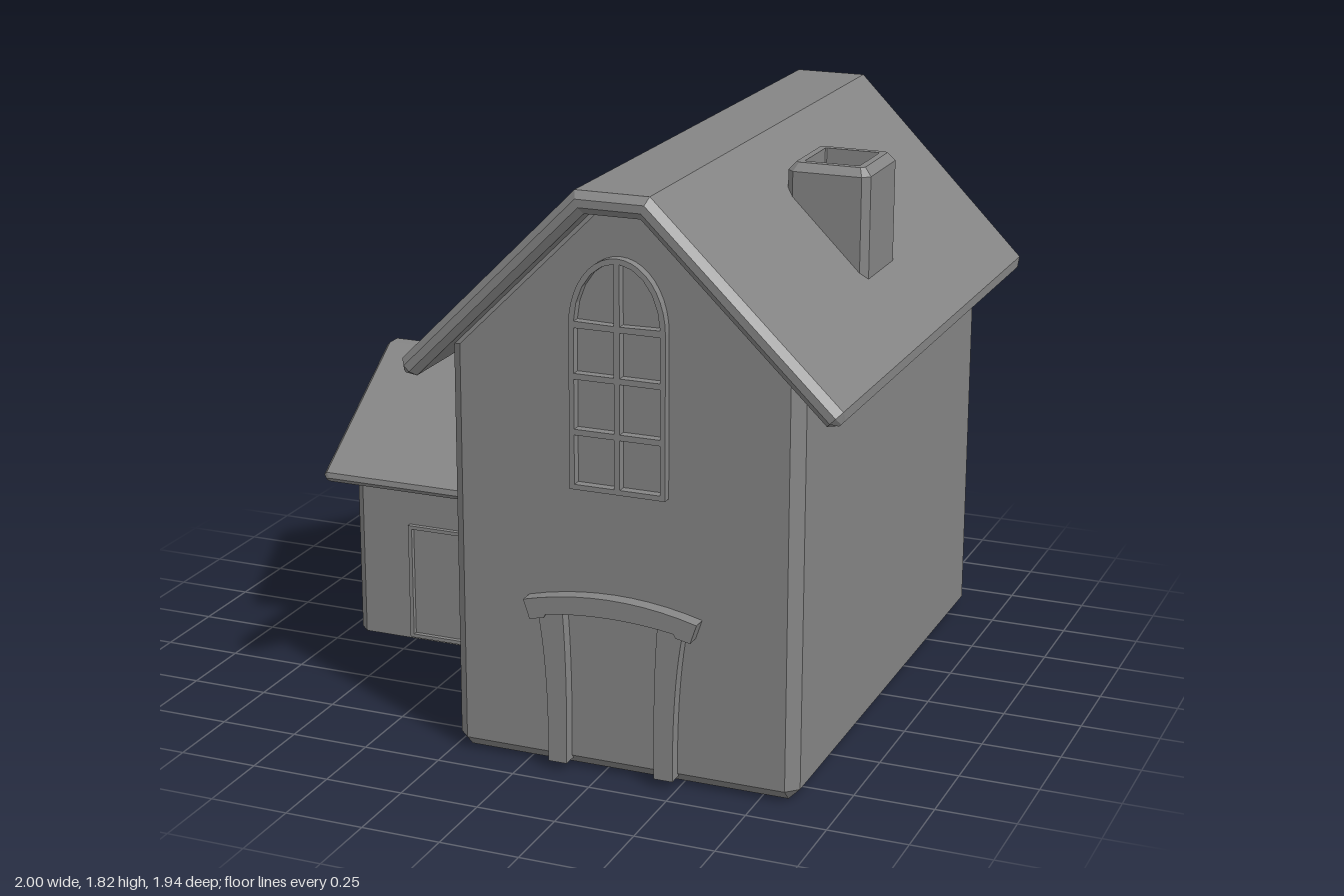
import * as THREE from 'three';

const material = new THREE.MeshStandardMaterial({ color: 0x858585, flatShading: true, side: THREE.DoubleSide });

function addMesh(parent, name, geometry, x = 0, y = 0, z = 0) {
  const mesh = new THREE.Mesh(geometry, material);
  mesh.name = name;
  mesh.position.set(x, y, z);
  parent.add(mesh);
  return mesh;
}

// Skin over closed rings of [x, y, z] points, with fan caps at both ends
function loft(rings) {
  const tris = [];
  const n = rings[0].length;
  const tri = (a, b, c) => {
    const [p, q, r] = [a, b, c].map((v) => new THREE.Vector3(...v));
    const area = q.clone().sub(p).cross(r.clone().sub(p)).length();
    if (area > 1e-9) tris.push([p, q, r]);
  };
  for (let i = 0; i < rings.length - 1; i++) {
    for (let j = 0; j < n; j++) {
      const k = (j + 1) % n;
      tri(rings[i][j], rings[i][k], rings[i + 1][k]);
      tri(rings[i][j], rings[i + 1][k], rings[i + 1][j]);
    }
  }
  const first = rings[0], last = rings[rings.length - 1];
  for (let j = 1; j < n - 1; j++) {
    tri(first[0], first[j + 1], first[j]);
    tri(last[0], last[j], last[j + 1]);
  }
  // Turn the skin outwards if its signed volume is negative
  const volume = tris.reduce((s, [p, q, r]) => s + p.dot(q.clone().cross(r)), 0);
  const points = tris.flatMap(([p, q, r]) => (volume < 0 ? [p, r, q] : [p, q, r]));
  const geometry = new THREE.BufferGeometry().setFromPoints(points);
  geometry.computeVertexNormals();
  return geometry;
}

// Gabled block along z with chamfered upright corners; foot chamfers the base, lift the gable edge
function gabledWalls({ hw, hd, c, foot, lift, y0, eaveY, peakHw, peakY }) {
  const rise = c * (peakY - eaveY) / (hw - peakHw);
  const shoulder = [hw - c, eaveY + rise];
  const full = [[hw - foot, y0], [hw, y0 + foot], [hw, eaveY + lift], [hw - c, eaveY + rise + lift],
    [peakHw + lift * 0.6, peakY + lift * 0.4]];
  const inset = [[hw - c, y0 + foot], [hw - c, y0 + foot], shoulder, shoulder, [peakHw, peakY]];
  const ring = (half, z) => [
    ...half.map(([x, y]) => [x, y, z]),
    ...[...half].reverse().map(([x, y]) => [-x, y, z]),
  ];
  return loft([ring(inset, hd), ring(full, hd - c), ring(full, c - hd), ring(inset, -hd)]);
}

// Bent roof slab with a flat ridge, lofted from eave to eave, all edges chamfered
function bentRoof({ ridgeHw, ridgeY, eaveHw, eaveY, t, c, ridgeHd, eaveHd }) {
  const angle = Math.atan2(ridgeY - eaveY, eaveHw - ridgeHw);
  const d = [Math.cos(angle), -Math.sin(angle)];
  const nrm = [Math.sin(angle), Math.cos(angle)];
  const along = (p, v, s) => [p[0] + v[0] * s, p[1] + v[1] * s];
  const ring = (side, top, low, hd, f) => {
    const at = (k, z) => [side * (top[0] + (low[0] - top[0]) * k), top[1] + (low[1] - top[1]) * k, z];
    return [at(0, hd - c), at(f, hd), at(1 - f, hd), at(1, hd - c),
      at(1, c - hd), at(1 - f, -hd), at(f, -hd), at(0, c - hd)];
  };
  const half = (side) => {
    const eaveTop = [eaveHw, eaveY], eaveLow = along(eaveTop, nrm, -t);
    const tip = along(along(eaveTop, d, c), nrm, -c);
    const tipLow = along(along(eaveLow, d, c), nrm, c);
    return [
      ring(side, tip, tipLow, eaveHd - c, 0.3),
      ring(side, eaveTop, eaveLow, eaveHd, c / t),
      ring(side, [ridgeHw, ridgeY], [ridgeHw - t * Math.tan(angle / 2), ridgeY - t], ridgeHd, c / t),
    ];
  };
  return loft([...half(-1), ...half(1).reverse()]);
}

// Horizontal rectangle with cut corners
function cutRect(hw, hd, c, y) {
  return [[hw, hd - c], [hw - c, hd], [c - hw, hd], [-hw, hd - c],
    [-hw, c - hd], [c - hw, -hd], [hw - c, -hd], [hw, c - hd]].map(([x, z]) => [x, y, z]);
}

function rectShape(x0, y0, x1, y1, Type = THREE.Shape) {
  return new Type([[x0, y0], [x1, y0], [x1, y1], [x0, y1]].map((p) => new THREE.Vector2(...p)));
}

const extrude = (shape, depth) =>
  new THREE.ExtrudeGeometry(shape, { depth, bevelEnabled: false, curveSegments: 10 });

// Arched window frame with two columns of four panes
function windowFrame() {
  const hw = 0.151, spring = 1.405, rise = 0.21, bar = 0.009, edge = 0.016;
  const shape = new THREE.Shape();
  shape.moveTo(-hw, 0.903);
  shape.lineTo(hw, 0.903);
  shape.lineTo(hw, spring);
  shape.absellipse(0, spring, hw, rise, 0, Math.PI, false);
  shape.closePath();
  const sills = [0.919 - bar, 1.08, 1.25, spring];
  for (const s of [-1, 1]) {
    for (let i = 0; i < 3; i++) {
      shape.holes.push(rectShape(s * bar, sills[i] + bar, s * (hw - edge), sills[i + 1] - bar, THREE.Path));
    }
    // Quarter-arch pane
    const pane = [[s * bar, spring + bar]];
    for (let i = 0; i <= 5; i++) {
      const a = 0.06 + (i / 5) * (Math.PI / 2 - 0.12);
      pane.push([s * (hw - edge) * Math.cos(a), spring + (rise - edge) * Math.sin(a)]);
    }
    shape.holes.push(new THREE.Path(pane.map((p) => new THREE.Vector2(...p))));
  }
  return extrude(shape, 0.045);
}

// Curved door post, s picks the side
function doorPost(s) {
  const shape = new THREE.Shape();
  shape.moveTo(s * 0.142, 0.025);
  shape.lineTo(s * 0.202, 0.025);
  shape.quadraticCurveTo(s * 0.2, 0.33, s * 0.232, 0.5);
  shape.lineTo(s * 0.152, 0.51);
  shape.quadraticCurveTo(s * 0.138, 0.33, s * 0.142, 0.025);
  return extrude(shape, 0.055);
}

function doorLintel() {
  const shape = new THREE.Shape();
  shape.moveTo(-0.278, 0.54);
  shape.quadraticCurveTo(0, 0.615, 0.278, 0.54);
  shape.lineTo(0.258, 0.48);
  shape.lineTo(0.212, 0.49);
  shape.lineTo(0.205, 0.502);
  shape.quadraticCurveTo(0, 0.535, -0.205, 0.502);
  shape.lineTo(-0.212, 0.49);
  shape.lineTo(-0.258, 0.48);
  shape.closePath();
  return extrude(shape, 0.06);
}

export function createModel() {
  const model = new THREE.Group();
  model.name = 'house';
  const houseX = 0.31;

  // Main house
  addMesh(model, 'houseWalls', gabledWalls({
    hw: 0.554, hd: 0.878, c: 0.036, foot: 0.036, lift: 0.024, y0: 0, eaveY: 1.262, peakHw: 0.08, peakY: 1.733,
  }), houseX, 0, 0.003);
  addMesh(model, 'houseRoof', bentRoof({
    ridgeHw: 0.115, ridgeY: 1.816, eaveHw: 0.688, eaveY: 1.246, t: 0.068, c: 0.022, ridgeHd: 0.972, eaveHd: 0.945,
  }), houseX);

  // Hollow chimney
  addMesh(model, 'chimney', loft([
    cutRect(0.131, 0.142, 0.022, 1.39), cutRect(0.131, 0.142, 0.022, 1.74),
    cutRect(0.109, 0.12, 0.012, 1.765), cutRect(0.087, 0.097, 0.004, 1.765), cutRect(0.087, 0.097, 0.004, 1.66),
  ]), 0.689, 0, 0.05);

  // Front window and doorway
  addMesh(model, 'archedWindow', windowFrame(), 0.306, 0, 0.865);
  const doorway = new THREE.Group();
  doorway.name = 'doorway';
  doorway.position.set(0.286, 0, 0.867);
  model.add(doorway);
  addMesh(doorway, 'rightPost', doorPost(-1));
  addMesh(doorway, 'leftPost', doorPost(1));
  addMesh(doorway, 'lintel', doorLintel());

  // Side annex, its ridge along x
  const annexZ = -0.19;
  addMesh(model, 'annexWalls', gabledWalls({
    hw: 0.418, hd: 0.343, c: 0.033, foot: 0, lift: 0, y0: 0.035, eaveY: 0.619, peakHw: 0.025, peakY: 0.88,
  }), -0.587, 0, annexZ).rotation.y = Math.PI / 2;
  addMesh(model, 'annexRoof', bentRoof({
    ridgeHw: 0.026, ridgeY: 0.93, eaveHw: 0.5, eaveY: 0.612, t: 0.042, c: 0.013, ridgeHd: 0.375, eaveHd: 0.375,
  }), -0.624, 0, annexZ).rotation.y = Math.PI / 2;
  const doorFrame = rectShape(-0.725, 0.045, -0.482, 0.44);
  doorFrame.holes.push(rectShape(-0.712, 0.057, -0.495, 0.428, THREE.Path));
  addMesh(model, 'annexDoorFrame', extrude(doorFrame, 0.025), 0, 0, 0.219);

  return model;
}
